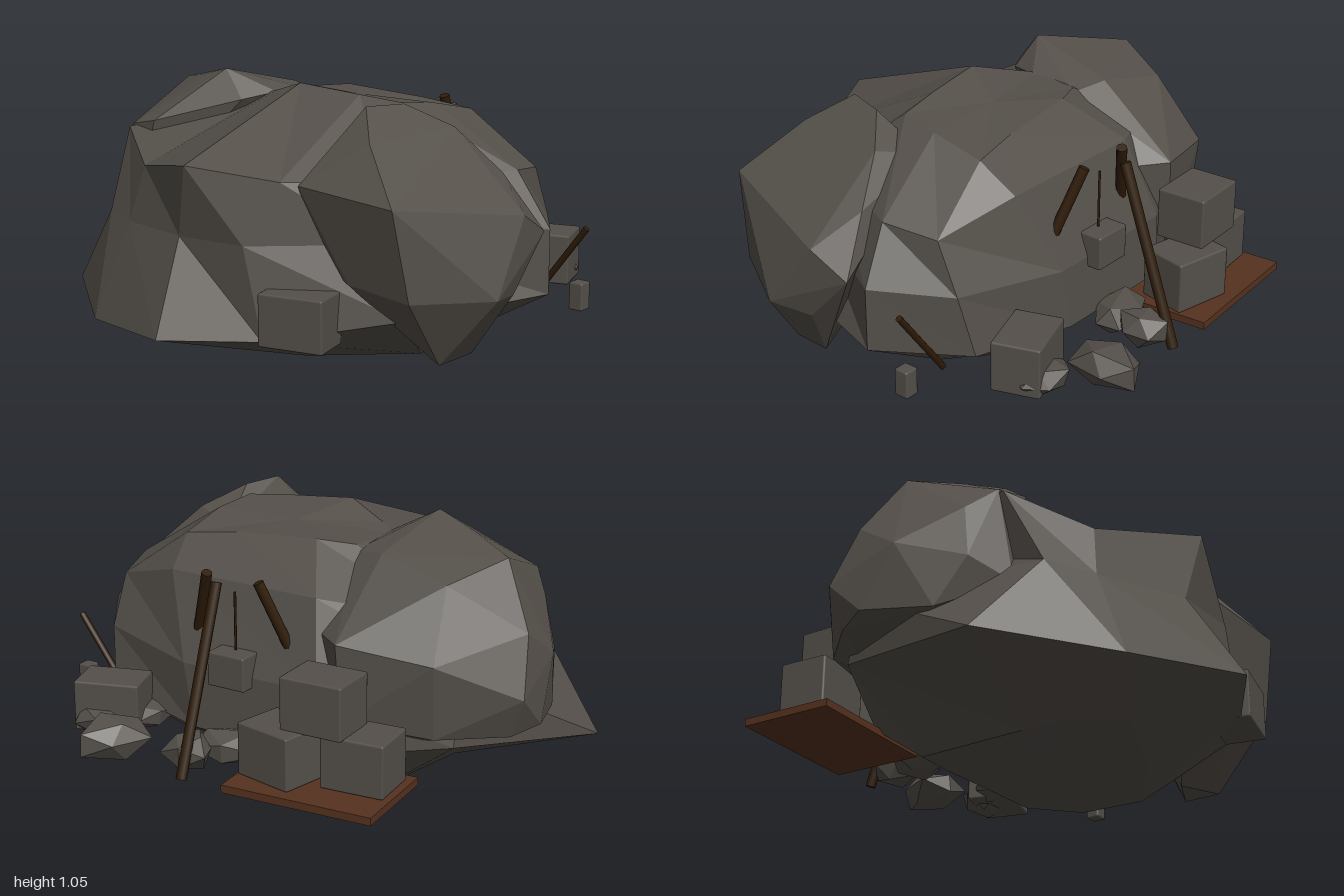
import * as THREE from 'three';
import { ConvexGeometry } from 'three/addons/geometries/ConvexGeometry.js';
import { RoundedBoxGeometry } from 'three/addons/geometries/RoundedBoxGeometry.js';

const material = (name, color) => Object.assign(new THREE.MeshStandardMaterial({ color }), { name });

// Flat-faced solid through stacked rings (bottom to top, counterclockwise from above), closed by fans
function loft(rings) {
  const vertices = [];
  const n = rings[0].length;
  const middle = ring => [0, 1, 2].map(k => ring.reduce((sum, p) => sum + p[k], 0) / n);
  const low = rings[0], high = rings[rings.length - 1];
  const lowMiddle = middle(low), highMiddle = middle(high);
  for (let c = 0; c < n; c++) {
    const d = (c + 1) % n;
    for (let r = 0; r < rings.length - 1; r++) {
      const lower = rings[r], upper = rings[r + 1];
      vertices.push(...lower[c], ...lower[d], ...upper[c], ...lower[d], ...upper[d], ...upper[c]);
    }
    vertices.push(...low[d], ...low[c], ...lowMiddle, ...high[c], ...high[d], ...highMiddle);
  }
  const geometry = new THREE.BufferGeometry();
  geometry.setAttribute('position', new THREE.Float32BufferAttribute(vertices, 3));
  geometry.computeVertexNormals();
  return geometry;
}

export function createModel() {
  const model = new THREE.Group();
  model.name = 'quarry';
  const stone = material('stone', 0x544f49);
  const darkWood = material('dark wood', 0x2f1c08);
  const plankWood = material('plank wood', 0x56321f);

  const add = (name, geometry, mat, position = [0, 0, 0], turn = 0) => {
    const mesh = new THREE.Mesh(geometry, mat);
    mesh.name = name;
    mesh.position.set(...position);
    mesh.rotation.y = turn;
    model.add(mesh);
    return mesh;
  };

  // Faceted rock wrapped around a few corner points
  const hull = (name, points) =>
    add(name, new ConvexGeometry(points.map(p => new THREE.Vector3(...p))), stone);

  // Round bar between two points
  const bar = (name, from, to, radius, sides = 8) => {
    const a = new THREE.Vector3(...from), b = new THREE.Vector3(...to);
    const dir = b.clone().sub(a);
    const mesh = add(name, new THREE.CylinderGeometry(radius, radius, dir.length(), sides), darkWood);
    mesh.position.copy(a).add(b).multiplyScalar(0.5);
    mesh.quaternion.setFromUnitVectors(new THREE.Vector3(0, 1, 0), dir.normalize());
  };

  const block = (name, size, position, turn) =>
    add(name, new RoundedBoxGeometry(...size, 1, 0.008), stone, position, turn);

  // Main rock: tapering underside, jutting skirt, pinched waist, shoulder and flat crown
  const underside = [
    [-0.2, 0.05, 0.58], [0.2, 0.04, 0.4], [0.55, 0.06, 0.15], [0.5, 0.05, -0.1], [0.3, 0.04, -0.24],
    [0.1, 0.04, -0.24], [-0.25, 0.03, -0.23], [-0.4, 0.03, -0.22], [-0.45, 0, 0.28], [-0.4, 0.02, 0.42],
  ];
  const skirt = [
    [-0.03, 0.19, 0.97], [0.3, 0.2, 0.76], [0.72, 0.29, 0.47], [0.93, 0.3, -0.13], [0.7, 0.29, -0.45],
    [0.25, 0.25, -0.54], [-0.3, 0.25, -0.54], [-0.75, 0.3, -0.3], [-1, 0.15, 0.45], [-0.55, 0.13, 0.79],
  ];
  const waist = [
    [-0.1, 0.53, 0.77], [0.21, 0.54, 0.76], [0.6, 0.55, 0.45], [0.93, 0.55, -0.13], [0.74, 0.53, -0.4],
    [0.3, 0.5, -0.53], [-0.3, 0.5, -0.53], [-0.75, 0.55, -0.25], [-0.7, 0.5, 0.55], [-0.5, 0.5, 0.64],
  ];
  const shoulder = [
    [-0.03, 0.81, 0.81], [0.3, 0.77, 0.66], [0.55, 0.76, 0.4], [0.8, 0.76, -0.1], [0.74, 0.73, -0.31],
    [0.43, 0.82, -0.41], [-0.23, 0.82, -0.42], [-0.65, 0.75, -0.2], [-0.74, 0.81, 0.4], [-0.45, 0.72, 0.6],
  ];
  const crown = [
    [-0.02, 1.035, 0.18], [0.25, 1.015, 0.15], [0.43, 1, 0.12], [0.46, 0.98, -0.05], [0.46, 0.93, -0.27],
    [0.25, 0.955, -0.24], [-0.1, 0.975, -0.21], [-0.24, 0.96, -0.15], [-0.28, 0.96, 0.06], [-0.2, 0.98, 0.11],
  ];
  add('mainRock', loft([underside, skirt, waist, shoulder, crown]), stone);

  // Boulder on the -x side
  hull('rightBoulder', [
    [-0.98, 0.36, -0.05], [-0.98, 0.5, -0.2], [-0.96, 0.6, 0.08], [-0.9, 0.33, 0.22], [-0.7, 0.45, 0.42],
    [-0.85, 0.52, 0.33], [-0.82, 0.74, 0.29], [-0.94, 0.72, -0.1], [-0.8, 0.96, 0], [-0.74, 0.82, 0.38],
    [-0.6, 0.85, 0.4], [-0.6, 1, 0.12], [-0.42, 1.05, 0.17], [-0.25, 0.96, 0.06], [-0.31, 0.94, 0.2],
    [-0.5, 0.92, 0.3], [-0.24, 0.94, -0.15], [-0.38, 0.96, -0.2], [-0.68, 0.9, -0.25], [-0.38, 0.7, -0.53],
    [-0.22, 0.7, -0.41], [-0.73, 0.65, -0.43], [-0.4, 0.4, -0.52], [-0.72, 0.36, -0.4], [-0.92, 0.34, -0.18],
    [-0.6, 0.3, -0.3],
  ]);

  // Boulder on the +x side
  hull('leftBoulder', [
    [1, 0.38, 0.3], [0.97, 0.65, 0.1], [0.95, 0.56, -0.06], [0.95, 0.36, 0.13], [0.8, 0.74, 0.65],
    [0.83, 0.4, 0.59], [0.8, 0.12, 0.37], [0.82, 0.13, 0.2], [0.65, 0.13, 0.28], [0.36, 0.76, 0.63],
    [0.34, 0.48, 0.5], [0.55, 0.42, 0.58], [0.35, 0.85, 0.45], [0.45, 1.02, 0.36], [0.5, 1.015, 0.2],
    [0.64, 0.93, 0.08], [0.8, 0.77, 0], [0.46, 0.88, 0], [0.58, 0.92, 0.5],
  ]);

  // Cut stone blocks: loose ones, a stack on the pallet and one hanging
  const full = [0.25, 0.205, 0.205];
  block('frontBlock', [0.255, 0.2, 0.165], [0.41, 0.292, 0.682], 0.26);
  block('looseBlock', [0.26, 0.2, 0.19], [0.59, 0.31, -0.6], 0.33);
  block('stackBlockA', full, [-0.55, 0.33, -0.61], 0.1);
  block('stackBlockB', full, [-0.26, 0.33, -0.7], -0.2);
  block('stackBlockTop', full, [-0.405, 0.53, -0.645], 0.05);
  block('hangingBlock', [0.165, 0.135, 0.145], [0.065, 0.525, -0.515], 0);
  add('pallet', new THREE.BoxGeometry(0.6, 0.03, 0.39), plankWood, [-0.405, 0.212, -0.67], 0.08);

  // Hoist: three leaning poles and a rope
  bar('hoistPoleBack', [0.065, 0.89, -0.63], [0.065, 0.2, -0.875], 0.021);
  for (const side of [-1, 1])
    bar('hoistPole', [0.065 + side * 0.115, 0.88, -0.53], [0.065 + side * 0.36, 0.2, -0.355], 0.021);
  bar('rope', [0.065, 0.82, -0.515], [0.065, 0.58, -0.515], 0.005, 6);

  // Hammer resting beside the rock
  bar('hammerHandle', [0.965, 0.52, -0.325], [0.74, 0.22, -0.325], 0.013);
  block('hammerHead', [0.06, 0.11, 0.06], [0.94, 0.255, -0.328], 0);

  // Rubble: flattened, irregular small rocks
  let seed = 7;
  const random = () => (seed = (seed * 16807) % 2147483647) / 2147483647;
  const rubble = [
    [[0.105, 0.27, -0.77], [0.105, 0.075, 0.105], 0.2], [[0.415, 0.28, -0.83], [0.13, 0.08, 0.165], -0.25],
    [[0.6, 0.25, -0.67], [0.13, 0.065, 0.11], 0.5], [[0.045, 0.24, -0.6], [0.16, 0.07, 0.11], 0.3],
    [[0.49, 0.25, -0.53], [0.12, 0.06, 0.1], 1.4],
  ];
  const corners = new THREE.IcosahedronGeometry(1, 0).getAttribute('position');
  for (const [position, scale, turn] of rubble) {
    const unique = new Map();
    for (let i = 0; i < corners.count; i++) {
      const v = new THREE.Vector3().fromBufferAttribute(corners, i);
      const key = v.toArray().map(n => n.toFixed(2)).join();
      if (!unique.has(key)) unique.set(key, v.multiplyScalar(0.8 + 0.35 * random()));
    }
    const geometry = new ConvexGeometry([...unique.values()]);
    geometry.scale(...scale);
    add('rubbleRock', geometry, stone, position, turn);
  }

  return model;
}
